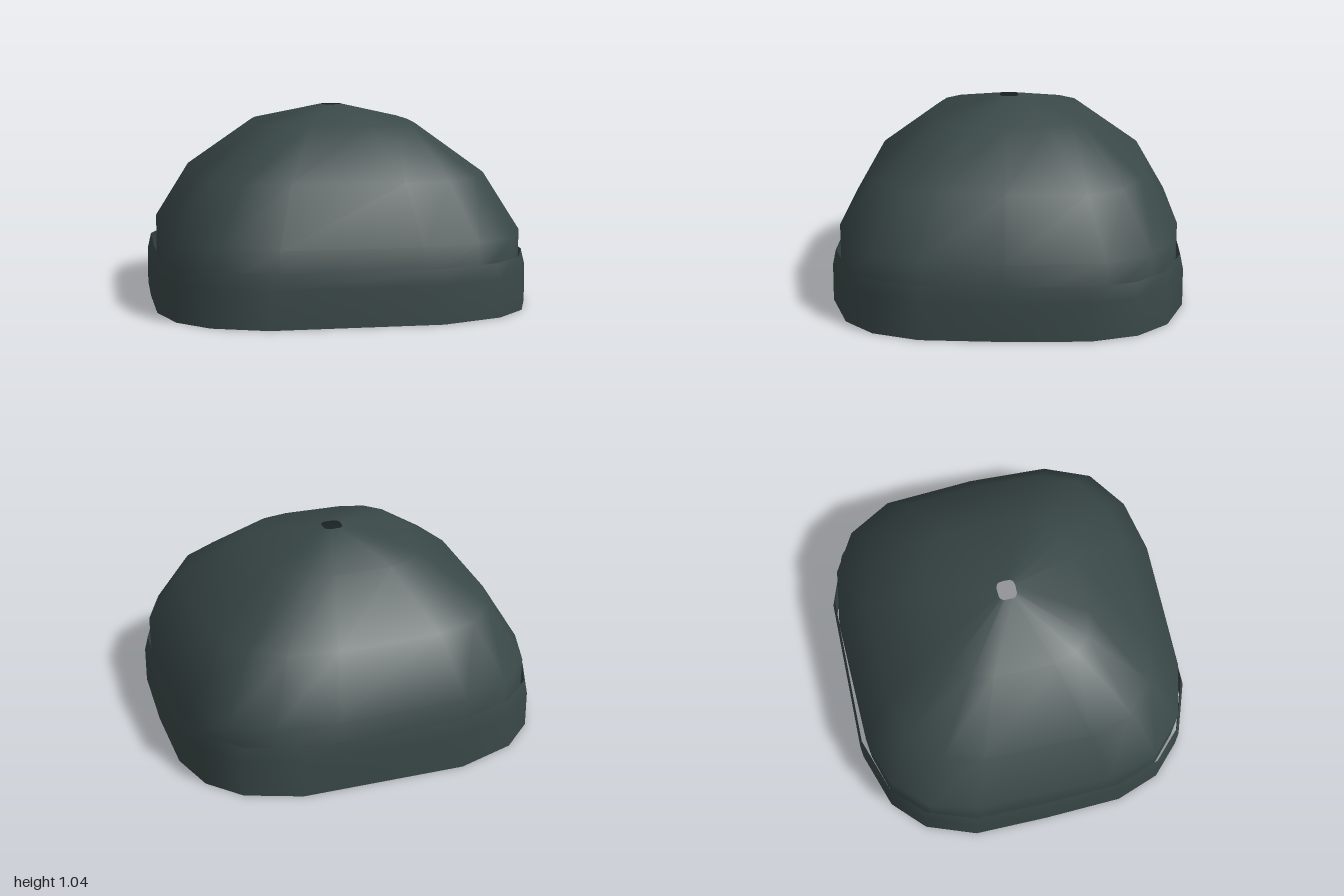
import * as THREE from 'three';

const wool = new THREE.MeshStandardMaterial({ color: 0x3a4848, side: THREE.DoubleSide });
wool.name = 'dark slate wool';

// Rounded-square outlines as [x, z], running from +x towards +z
const crownOutline = [
  [0.962, 0], [0.945, 0.44], [0.84, 0.69], [0.62, 0.84], [0.32, 0.9], [-0.4, 0.89],
  [-0.69, 0.81], [-0.87, 0.64], [-0.95, 0.36], [-0.95, -0.37], [-0.88, -0.62],
  [-0.7, -0.81], [-0.44, -0.89], [0.25, -0.91], [0.57, -0.865], [0.79, -0.74], [0.93, -0.5],
];
const cuffOutline = [
  [1, 0], [0.985, 0.43], [0.9, 0.67], [0.74, 0.825], [0.42, 0.932], [-0.46, 0.925],
  [-0.74, 0.825], [-0.9, 0.67], [-0.985, 0.43], [-1, 0], [-1, -0.4],
  [-0.9, -0.67], [-0.73, -0.835], [-0.42, -0.938], [0.45, -0.932], [0.74, -0.83],
  [0.9, -0.67], [0.985, -0.43],
];

// Open shell: the outline repeated at each [height, scale] level
function shell(name, outline, levels) {
  const n = outline.length;
  const positions = [];
  const index = [];
  for (const [y, s] of levels) {
    for (const [x, z] of outline) positions.push(x * s, y, z * s);
  }
  for (let j = 0; j < levels.length - 1; j++) {
    for (let i = 0; i < n; i++) {
      const a = j * n + i;
      const b = j * n + ((i + 1) % n);
      index.push(a, a + n, b, b, a + n, b + n);
    }
  }
  const geometry = new THREE.BufferGeometry();
  geometry.setAttribute('position', new THREE.Float32BufferAttribute(positions, 3));
  geometry.setIndex(index);
  geometry.computeVertexNormals();
  const mesh = new THREE.Mesh(geometry, wool);
  mesh.name = name;
  return mesh;
}

export function createModel() {
  const cap = new THREE.Group();
  cap.name = 'knitCap';
  // Domed crown with a small hole at the top
  cap.add(shell('crown', crownOutline, [
    [0.02, 1], [0.2, 1], [0.39, 1], [0.692, 0.81], [0.95, 0.445], [1.04, 0.055],
  ]));
  // Turned-up cuff standing just clear of the crown
  cap.add(shell('cuff', cuffOutline, [[0, 1], [0.2, 0.998], [0.28, 0.98]]));
  return cap;
}
